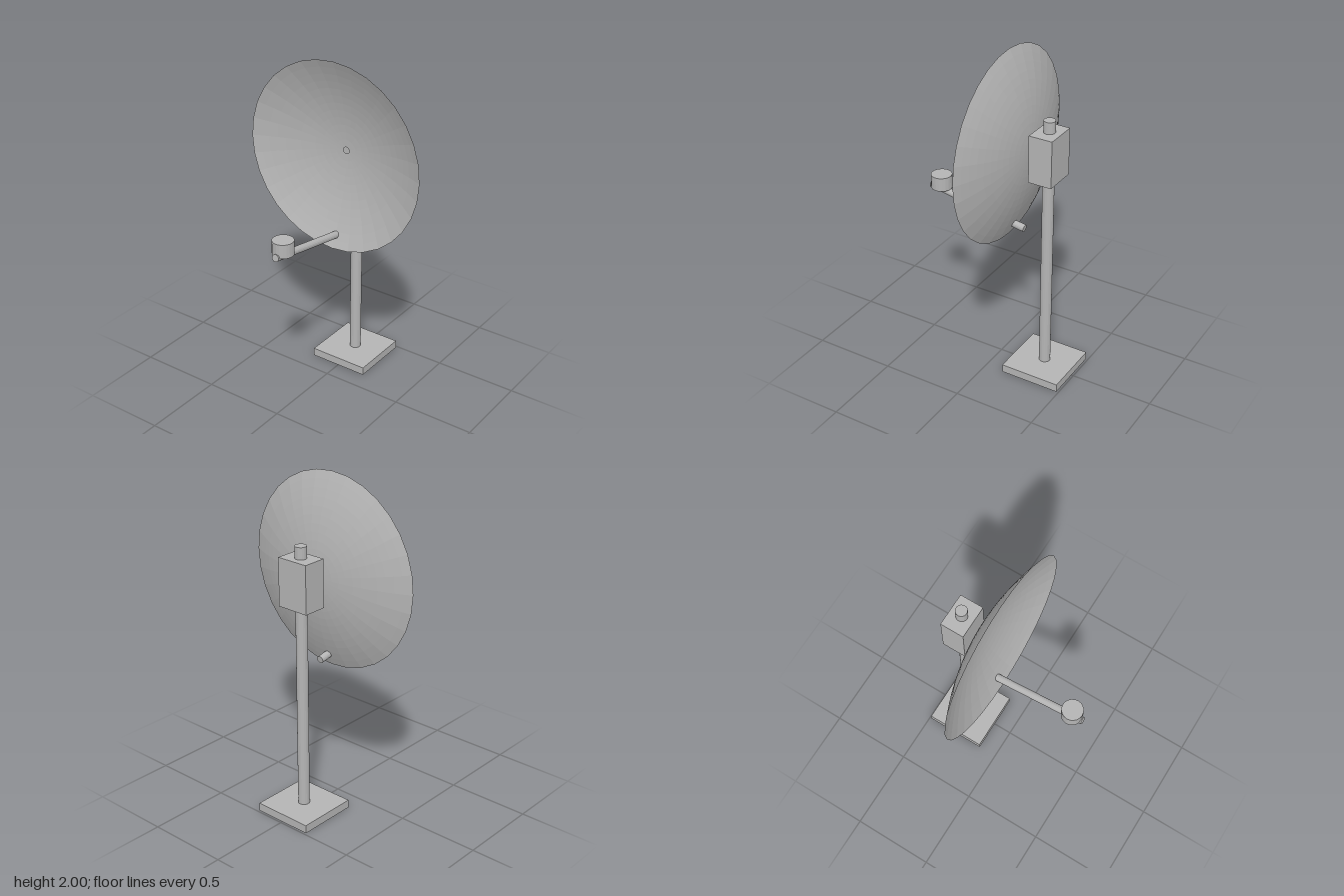
import * as THREE from 'three';

export function createModel() {
  const model = new THREE.Group();
  model.name = 'satelliteDish';

  const metal = new THREE.MeshStandardMaterial({ color: 0xb4b4b4, flatShading: true, side: THREE.DoubleSide });
  metal.name = 'grey metal';

  const add = (name, geometry, x, y, z) => {
    const mesh = new THREE.Mesh(geometry, metal);
    mesh.name = name;
    mesh.position.set(x, y, z);
    model.add(mesh);
    return mesh;
  };

  // Ground plate, mast and the mounting box near its top
  const mastZ = -0.302;
  add('base', new THREE.BoxGeometry(0.37, 0.05, 0.37), 0, 0.025, mastZ);
  add('mast', new THREE.CylinderGeometry(0.034, 0.034, 1.59, 20), 0, 0.845, mastZ);
  add('mountBox', new THREE.BoxGeometry(0.2, 0.285, 0.143), 0, 1.4275, mastZ);

  // Parabolic reflector, open at its centre, facing +z
  const radius = 0.573, hole = 0.02, depth = 0.137, rings = 12;
  const profile = [];
  for (let i = 0; i <= rings; i++) {
    const r = hole + (radius - hole) * i / rings;
    profile.push(new THREE.Vector2(r, depth * (r / radius) ** 2));
  }
  const dish = add('reflector', new THREE.LatheGeometry(profile, 32), 0, 1.427, -0.187);
  dish.rotation.x = Math.PI / 2;

  // Feed arm running through the lower part of the reflector
  const start = new THREE.Vector3(0, 0.917, -0.154);
  const end = new THREE.Vector3(0, 1.03, 0.482);
  const along = end.clone().sub(start);
  const middle = start.clone().add(end).multiplyScalar(0.5);
  const arm = add('feedArm', new THREE.CylinderGeometry(0.022, 0.022, along.length(), 16), 0, middle.y, middle.z);
  arm.quaternion.setFromUnitVectors(new THREE.Vector3(0, 1, 0), along.normalize());

  // Receiver standing on the arm tip
  add('receiver', new THREE.CylinderGeometry(0.063, 0.063, 0.085, 20), 0, 1.07, 0.411);

  return model;
}
